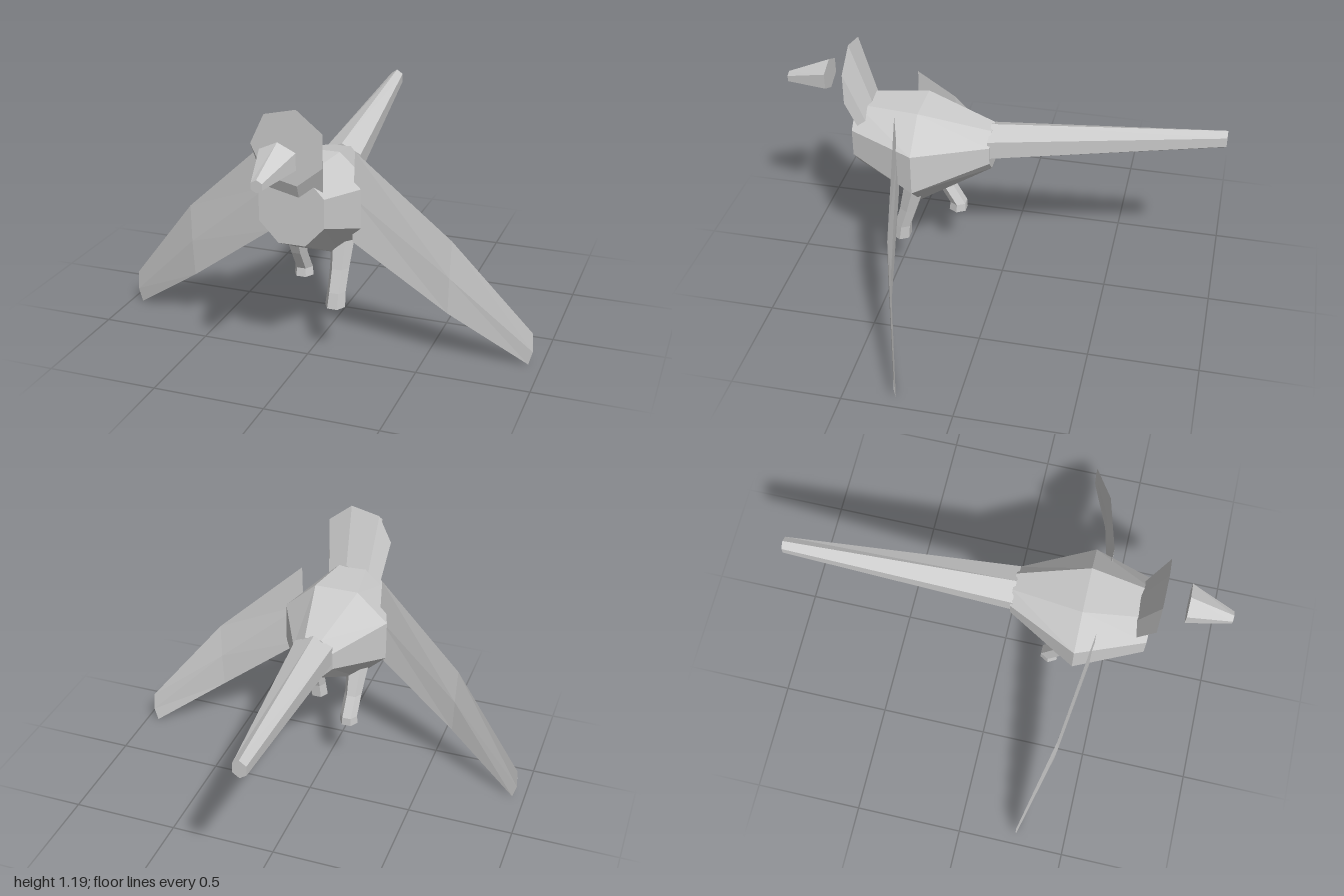
import * as THREE from 'three';

const V = (x, y, z) => new THREE.Vector3(x, y, z);

// Closed skin through rings of equal count, with fan caps at both ends
function loft(rings) {
  const pos = [];
  const tri = (...p) => p.forEach(v => pos.push(v.x, v.y, v.z));
  const n = rings[0].length;
  for (let i = 0; i < rings.length - 1; i++) {
    for (let j = 0; j < n; j++) {
      const k = (j + 1) % n;
      const a = rings[i][j], b = rings[i][k], c = rings[i + 1][k], d = rings[i + 1][j];
      tri(a, b, c);
      tri(a, c, d);
    }
  }
  const cap = (ring, flip) => {
    const m = V(0, 0, 0);
    ring.forEach(p => m.addScaledVector(p, 1 / n));
    ring.forEach((p, j) => {
      const q = ring[(j + 1) % n];
      if (flip) tri(m, q, p); else tri(m, p, q);
    });
  };
  cap(rings[0], true);
  cap(rings[rings.length - 1], false);
  const g = new THREE.BufferGeometry();
  g.setAttribute('position', new THREE.Float32BufferAttribute(pos, 3));
  g.computeVertexNormals();
  return g;
}

// Polygon facing +z
function ringZ(n, cx, cy, z, rx, ry, start) {
  return Array.from({ length: n }, (_, i) => {
    const a = start + i * 2 * Math.PI / n;
    return V(cx + rx * Math.cos(a), cy + ry * Math.sin(a), z);
  });
}

// Hexagon facing +y
function ringY(cx, y, cz, r) {
  return Array.from({ length: 6 }, (_, i) => {
    const a = i * Math.PI / 3;
    return V(cx + r * Math.cos(a), y, cz - r * Math.sin(a));
  });
}

export function createModel() {
  const model = new THREE.Group();
  model.name = 'bird';
  const grey = new THREE.MeshStandardMaterial({ color: 0xcccccc, flatShading: true });
  grey.name = 'plain grey';
  const add = (name, rings) => {
    const mesh = new THREE.Mesh(loft(rings), grey);
    mesh.name = name;
    model.add(mesh);
  };

  // Eight-sided body, widest in the middle (half sizes are to the flats)
  const flat = 1 / Math.cos(Math.PI / 8);
  add('body', [
    [0.73, 0.04, 0.095, 0.1],
    [0.683, 0.365, 0.253, 0.234],
    [0.75, 0.665, 0.145, 0.155],
  ].map(([y, z, hx, hy]) => ringZ(8, 0, y, z, hx * flat, hy * flat, Math.PI / 8)));

  // Long six-sided tail, drifting to one side
  add('tail', [
    ringZ(6, -0.07, 0.862, -1, 0.035, 0.043, Math.PI / 2),
    ringZ(6, 0, 0.755, 0.05, 0.104, 0.087, Math.PI / 2),
  ]);

  // Seven-sided neck leaning up into a flat-faced head
  add('head', [
    ringZ(7, 0, 0.785, 0.6, 0.13, 0.13, Math.PI),
    ringZ(7, 0, 1.03, 0.69, 0.165, 0.167, Math.PI),
  ]);

  // Beak, set apart from the face
  add('beak', [
    ringZ(6, 0, 1.015, 0.8, 0.09, 0.073, Math.PI / 2),
    ringZ(6, -0.005, 0.972, 1, 0.027, 0.027, Math.PI / 2),
  ]);

  // Thin wings: upper edge x, y, lower edge x, y, z, half thickness
  const stations = [
    [0.2, 0.955, 0.19, 0.545, 0.443, 0.002],
    [0.61, 0.58, 0.6, 0.24, 0.374, 0.007],
    [0.955, 0.155, 0.943, 0, 0.268, 0.002],
  ];
  for (const side of [1, -1]) {
    const rings = stations.map(([tx, ty, bx, by, z, t], i) => {
      const mx = i === 2 ? 0.96 : (tx + bx) / 2;
      const my = i === 2 ? 0.065 : (ty + by) / 2;
      return [
        V(side * tx, ty, z), V(side * mx, my, z + t),
        V(side * bx, by, z), V(side * mx, my, z - t),
      ];
    });
    add(side > 0 ? 'leftWing' : 'rightWing', side > 0 ? rings : rings.reverse());
  }

  // Legs in mid stride, listed from foot to hip: x, y, z, radius
  const leg = (name, path) => add(name, path.map(p => ringY(...p)));
  leg('leftLeg', [
    [0.117, 0.24, 0.462, 0.046],
    [0.12, 0.31, 0.452, 0.042],
    [0.123, 0.41, 0.42, 0.044],
    [0.125, 0.54, 0.385, 0.054],
  ]);
  leg('rightLeg', [
    [-0.114, 0.265, 0.242, 0.046],
    [-0.114, 0.305, 0.24, 0.042],
    [-0.117, 0.4, 0.295, 0.042],
    [-0.12, 0.54, 0.35, 0.054],
  ]);

  return model;
}
